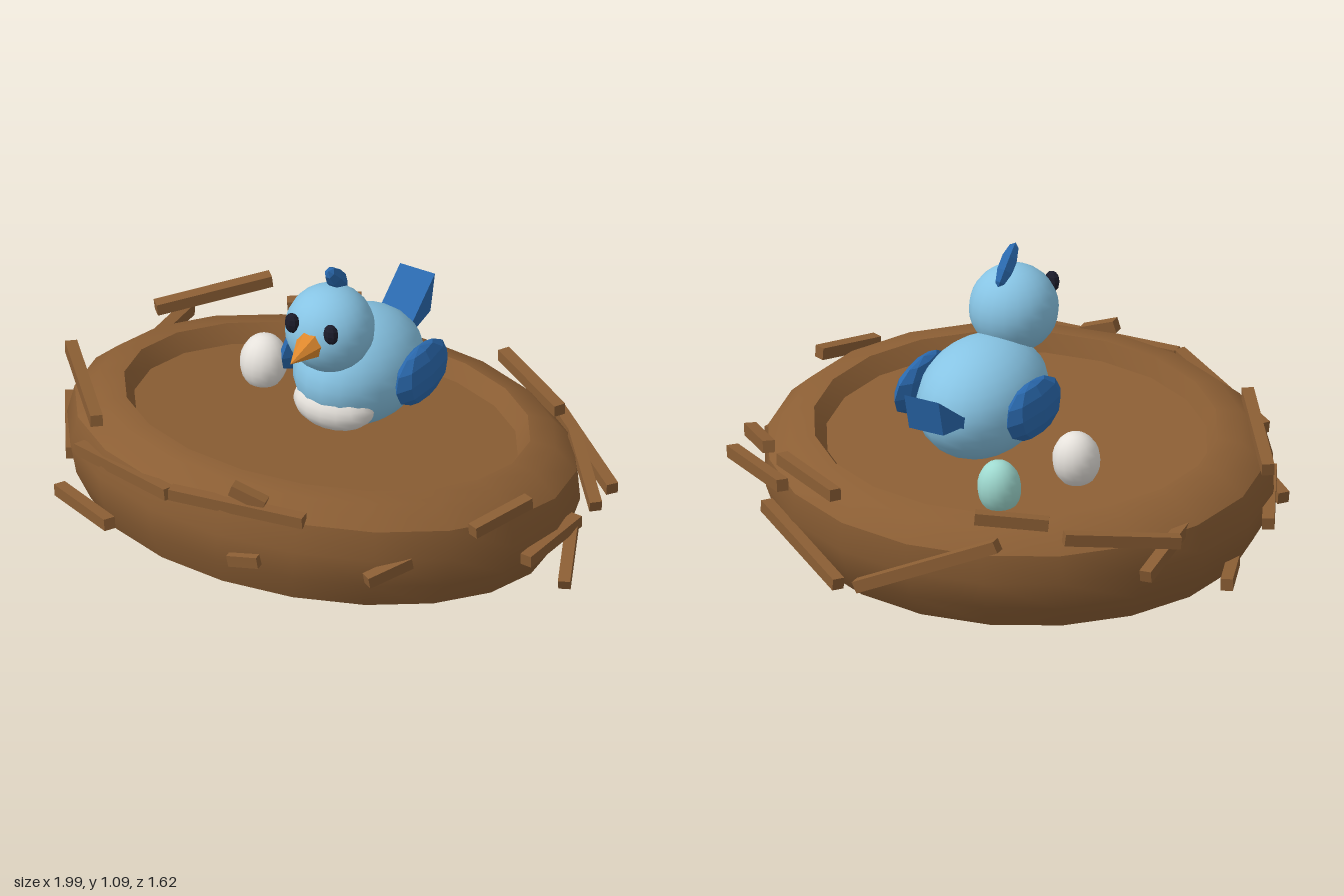
import * as THREE from 'three';
import { toCreasedNormals } from 'three/addons/utils/BufferGeometryUtils.js';

const mat = (name, color, flatShading = false) => {
  const m = new THREE.MeshStandardMaterial({ color, flatShading });
  m.name = name;
  return m;
};

export function createModel() {
  const model = new THREE.Group();
  model.name = 'birdInNest';
  const brown = mat('nestBrown', 0x8b5e34);
  const sky = mat('skyBlue', 0x87c4e4);
  const deep = mat('deepBlue', 0x2a69ae, true);
  const orange = mat('beakOrange', 0xe08a2e, true);
  const dark = mat('eyeDark', 0x1c1c2b, true);
  const white = mat('eggWhite', 0xe6e2dc);
  const mint = mat('eggMint', 0x9fdad0);

  const add = (name, geo, material, pos = [0, 0, 0], parent = model) => {
    const m = new THREE.Mesh(geo, material);
    m.name = name;
    m.position.set(...pos);
    parent.add(m);
    return m;
  };
  const ball = (name, material, pos, radii, ws = 18, hs = 14, rotX = 0) => {
    const m = add(name, new THREE.SphereGeometry(1, ws, hs), material, pos);
    m.scale.set(...radii);
    m.rotation.x = rotX;
    return m;
  };

  // Oval nest ring with a floor near the rim, open underneath, front raised
  const profile = [
    [0, 0.32], [0.68, 0.32], [0.70, 0], [0.82, 0.015], [0.88, 0.11], [0.91, 0.22],
    [0.89, 0.32], [0.81, 0.39], [0.72, 0.402], [0.68, 0.34], [0, 0.34],
  ].map(p => new THREE.Vector2(...p));
  const nest = add('nest', toCreasedNormals(new THREE.LatheGeometry(profile, 20), 0.6), brown, [-0.03, 0.083, 0.08]);
  nest.scale.z = 0.83;
  nest.rotation.x = -0.138;

  // Loose twigs: start point, end point
  const twigs = new THREE.Group();
  twigs.name = 'twigs';
  model.add(twigs);
  const twig = (a, b, w = 0.042) => {
    const p = new THREE.Vector3(...a), q = new THREE.Vector3(...b);
    const t = add('twig', new THREE.BoxGeometry(w, w, p.distanceTo(q)), brown,
      p.clone().add(q).multiplyScalar(0.5).toArray(), twigs);
    t.lookAt(q);
  };
  [
    [[-0.40, 0.38, -0.71], [0.12, 0.14, -0.77]],
    [[0.18, 0.14, -0.79], [0.65, 0.215, -0.48]],
    [[0.55, 0.33, -0.54], [0.91, 0.28, -0.27]],
    [[0.70, 0.38, -0.38], [0.93, 0.30, -0.12]],
    [[0.87, 0.26, -0.07], [0.97, 0.16, 0.17]],
    [[0.76, 0.46, 0.43], [0.85, 0.48, 0.20]],
    [[-0.91, 0.38, -0.36], [-0.62, 0.43, -0.64]],
    [[-0.87, 0.30, -0.52], [-0.83, 0.36, -0.20]],
    [[-0.98, 0.165, -0.17], [-0.87, 0.15, 0.06]],
    [[-0.97, 0.48, 0.12], [-0.63, 0.53, 0.55]],
    [[-0.97, 0.28, 0.12], [-0.77, 0.31, 0.47]],
    [[-0.79, 0.19, 0.52], [-0.49, 0.25, 0.71]],
    [[-0.69, 0.41, 0.56], [-0.22, 0.50, 0.78]],
    [[-0.22, 0.50, 0.77], [0.27, 0.51, 0.72]],
    [[0.00, 0.57, 0.74], [0.12, 0.53, 0.72]],
    [[0.50, 0.33, 0.70], [0.59, 0.36, 0.56]],
    [[0.02, 0.32, 0.79], [0.13, 0.34, 0.78]],
    [[-0.50, 0.42, -0.54], [-0.28, 0.44, -0.66]],
    [[0.27, 0.40, -0.66], [0.60, 0.39, -0.46]],
    [[0.86, 0.265, 0.24], [0.89, 0.27, -0.06]],
  ].forEach(([a, b]) => twig(a, b));

  // Bird body and head
  ball('body', sky, [0.03, 0.61, -0.09], [0.21, 0.20, 0.27], 20, 16, -0.14);
  ball('belly', white, [0.03, 0.55, 0.08], [0.15, 0.09, 0.105], 16, 12);
  ball('head', sky, [0.025, 0.865, 0.105], [0.153, 0.153, 0.153], 20, 16);

  // Face
  const beak = add('beak', new THREE.ConeGeometry(0.056, 0.15, 7), orange, [0.025, 0.87, 0.305]);
  beak.rotation.x = Math.PI / 2;
  ball('crest', deep, [0.025, 1.035, 0.06], [0.03, 0.085, 0.036], 6, 5, 0.75);

  // Mirrored eyes and wings
  for (const s of [1, -1]) {
    ball('eye', dark, [0.025 + s * 0.075, 0.93, 0.232], [0.028, 0.038, 0.021], 8, 6);
    const wing = ball('wing', deep, [0.03 + s * 0.222, 0.625, -0.125], [0.045, 0.098, 0.176], 8, 6, -0.05);
    wing.rotation.z = s * 0.12;
  }

  // Tail wedge, thicker toward its end
  const side = new THREE.Shape([[0.29, 0.57], [0.36, 0.605], [0.475, 0.62], [0.507, 0.752], [0.345, 0.64], [0.28, 0.61]]
    .map(p => new THREE.Vector2(...p)));
  const tail = add('tail', new THREE.ExtrudeGeometry(side, { depth: 0.135, bevelEnabled: false }), deep, [-0.045, 0, 0]);
  tail.rotation.y = Math.PI / 2;

  // Eggs
  ball('whiteEgg', white, [-0.36, 0.475, -0.125], [0.082, 0.1, 0.082], 16, 12, -0.14);
  ball('mintEgg', mint, [-0.2, 0.425, -0.365], [0.075, 0.1, 0.075], 16, 12, -0.14);

  return model;
}
